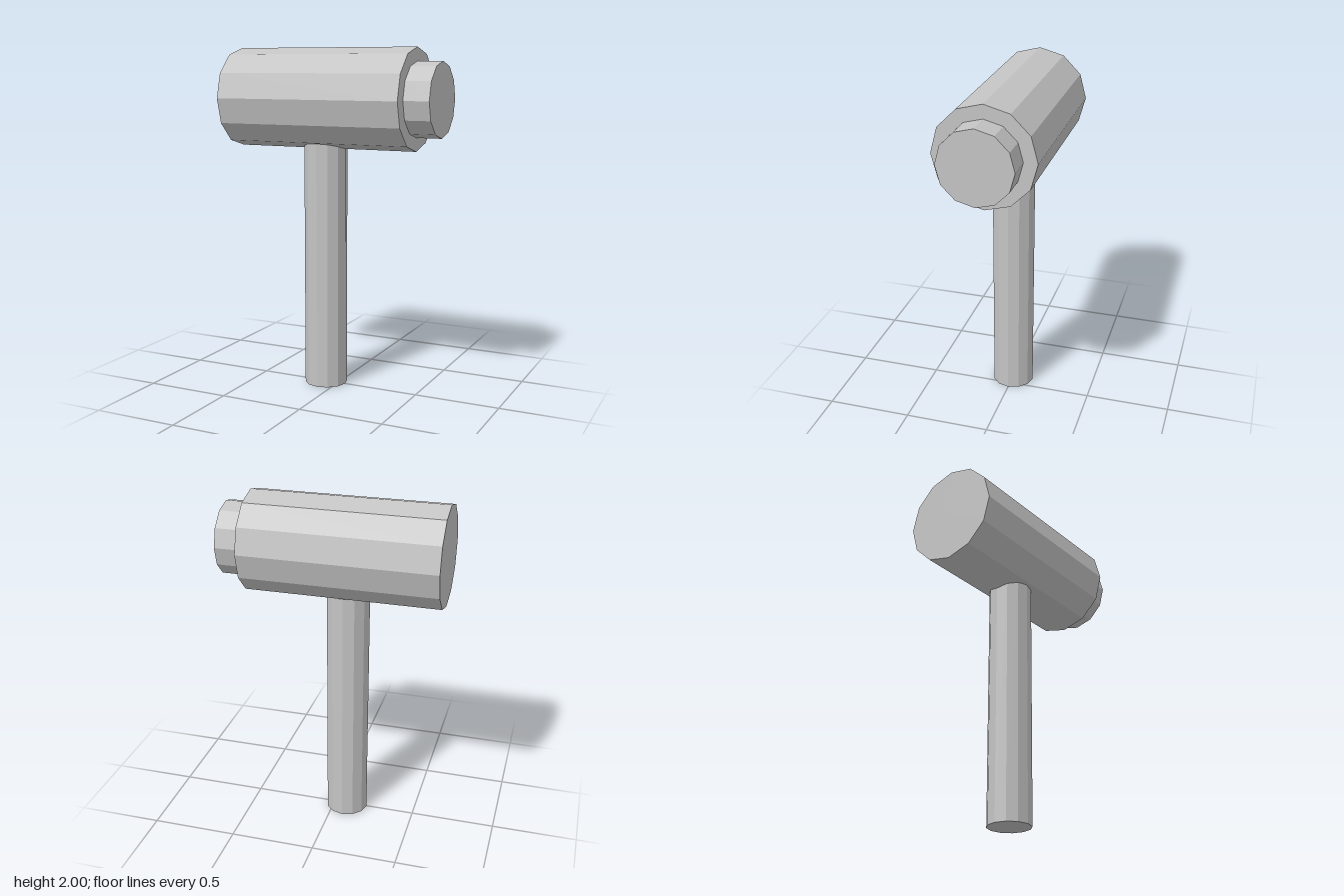
import * as THREE from 'three';

const SIDES = 12;

export function createModel() {
  const model = new THREE.Group();
  model.name = 'mallet';
  const grey = new THREE.MeshStandardMaterial({ color: 0xc4c4c4 });
  grey.name = 'plain grey';
  grey.flatShading = true;

  // Twelve-sided bar, standing along y
  const bar = (name, radius, length) => {
    const mesh = new THREE.Mesh(new THREE.CylinderGeometry(radius, radius, length, SIDES), grey);
    mesh.name = name;
    model.add(mesh);
    return mesh;
  };

  // Bar laid along x between two ends, at head height
  const headBar = (name, radius, x0, x1) => {
    const mesh = bar(name, radius, x1 - x0);
    mesh.rotation.z = -Math.PI / 2;
    mesh.position.set((x0 + x1) / 2, 1.71, 0);
  };

  headBar('head', 0.29, -0.64, 0.485);
  headBar('strikingFace', 0.212, 0.485, 0.635);

  // Handle runs up into the underside of the head
  bar('handle', 0.126, 1.5).position.set(-0.08, 0.75, 0);

  return model;
}
